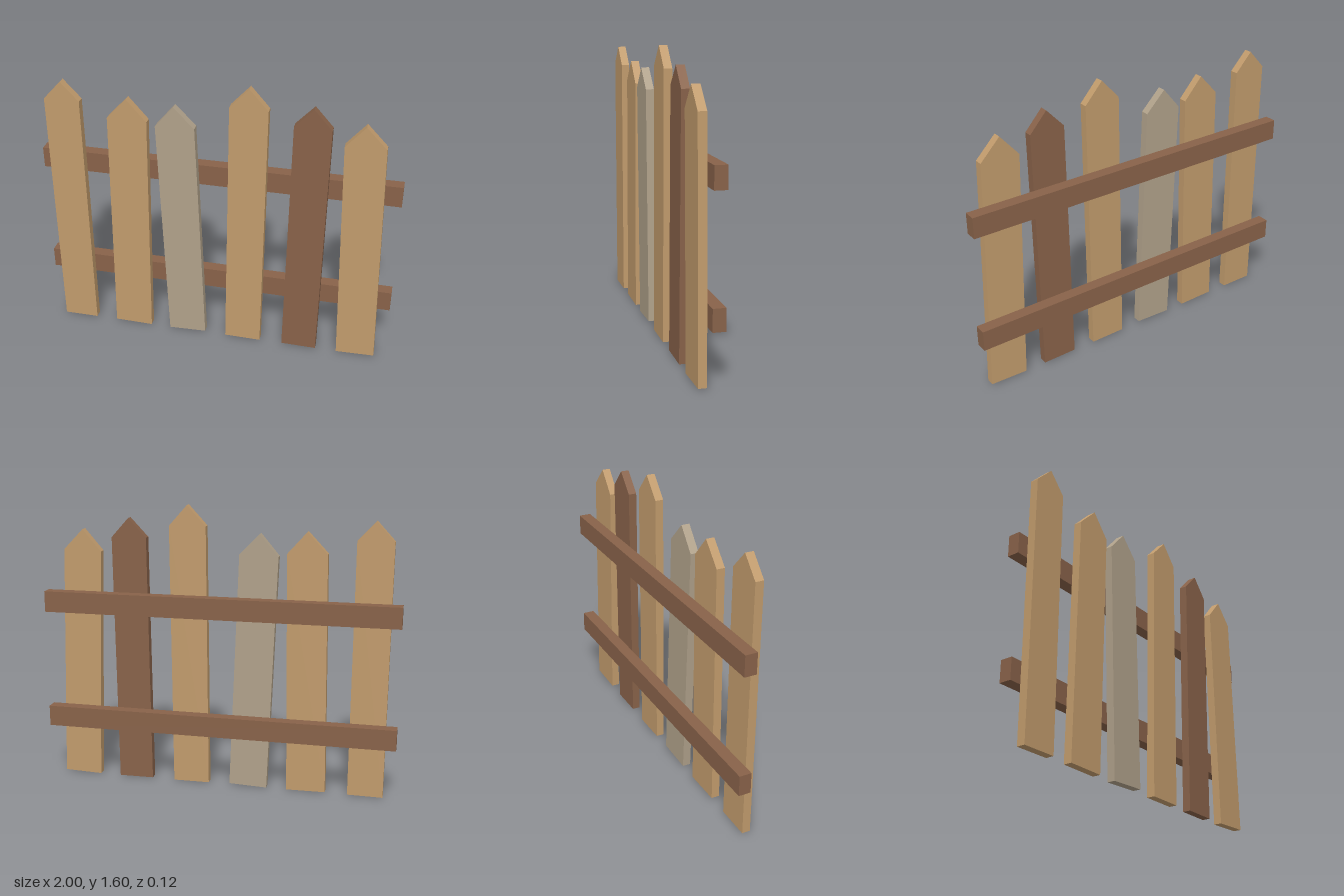
import * as THREE from 'three';

const material = (name, color) => {
  const m = new THREE.MeshStandardMaterial({ color });
  m.name = name;
  return m;
};

// Pointed board standing on its base centre, tilted by lean and resting on the ground
function makePicket({ x, width, shoulder, height, lean, mat }) {
  const w = width / 2;
  const shape = new THREE.Shape();
  shape.moveTo(-w, 0);
  shape.lineTo(w, 0);
  shape.lineTo(w, shoulder);
  shape.lineTo(0, height);
  shape.lineTo(-w, shoulder);
  shape.closePath();
  const geometry = new THREE.ExtrudeGeometry(shape, { depth: 0.046, bevelEnabled: false });
  const picket = new THREE.Mesh(geometry, mat);
  picket.position.set(x, Math.abs(Math.sin(lean)) * w, 0.013);
  picket.rotation.z = lean;
  return picket;
}

export function createModel() {
  const model = new THREE.Group();
  model.name = 'picketFence';
  const tan = material('tanWood', 0xc19b6c);
  const grey = material('weatheredWood', 0xb0a18a);
  const brown = material('brownWood', 0x886249);

  // Two horizontal rails behind the pickets
  [['lowerRail', 0.366], ['upperRail', 1.046]].forEach(([name, y]) => {
    const rail = new THREE.Mesh(new THREE.BoxGeometry(2, 0.118, 0.068), brown);
    rail.name = name;
    rail.position.set(0, y, -0.025);
    model.add(rail);
  });

  // Uneven pickets, from the model's right to its left
  [
    { x: -0.837, width: 0.198, shoulder: 1.435, height: 1.541, lean: 0.004, mat: tan },
    { x: -0.502, width: 0.220, shoulder: 1.355, height: 1.475, lean: -0.0145, mat: tan },
    { x: -0.168, width: 0.216, shoulder: 1.337, height: 1.455, lean: 0.038, mat: grey },
    { x: 0.166, width: 0.207, shoulder: 1.488, height: 1.602, lean: -0.009, mat: tan },
    { x: 0.500, width: 0.199, shoulder: 1.415, height: 1.523, lean: -0.0105, mat: brown },
    { x: 0.830, width: 0.217, shoulder: 1.333, height: 1.452, lean: 0.031, mat: tan },
  ].forEach((spec, i) => {
    const picket = makePicket(spec);
    picket.name = `picket${i + 1}`;
    model.add(picket);
  });

  return model;
}
